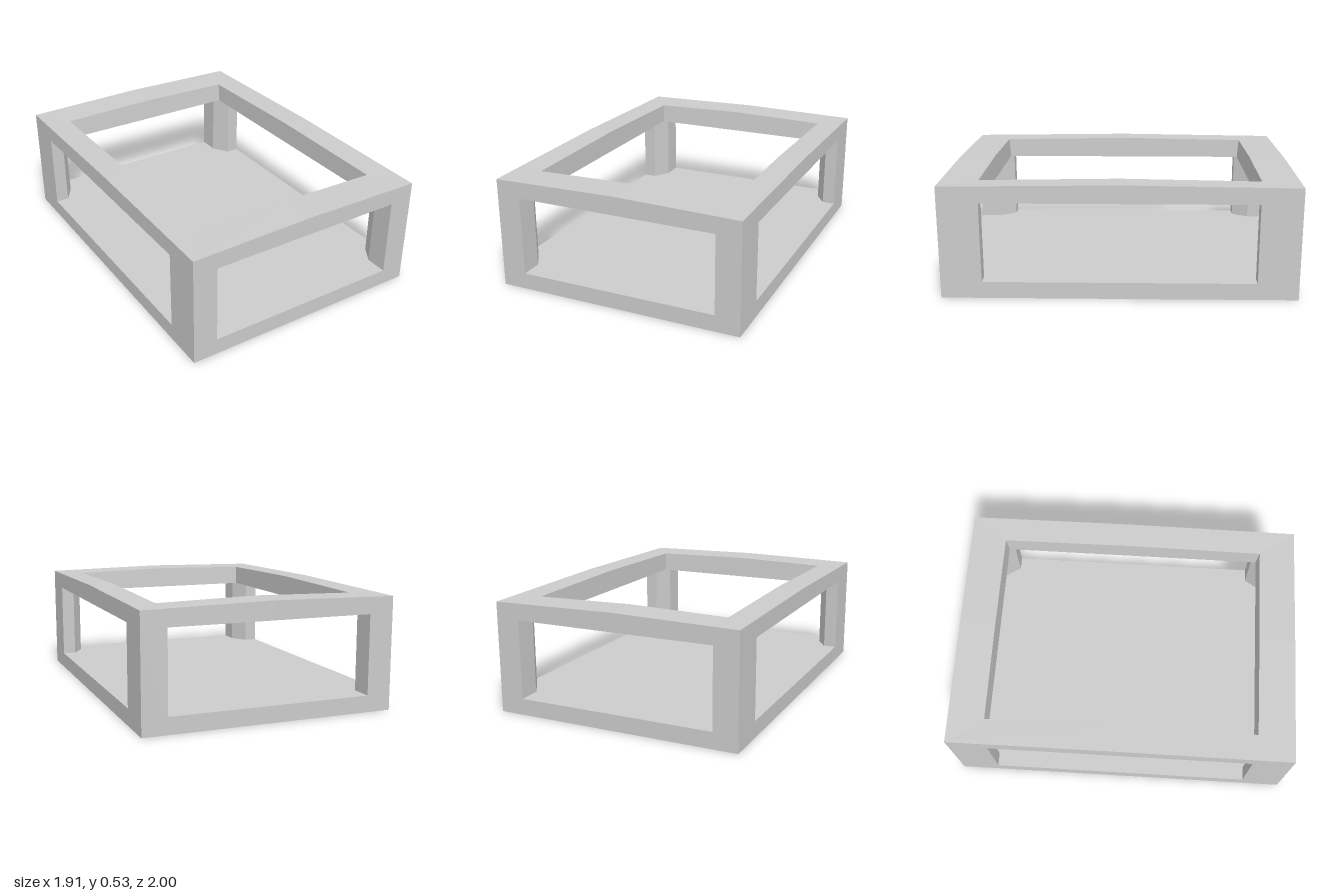
import * as THREE from 'three';

const HX = 0.808, HZ = 0.586;          // half length and half width
const FLOOR = 0.077, LINTEL = 0.445;   // window bottom and top heights

const material = new THREE.MeshStandardMaterial({ color: 0xcccccc, flatShading: true });

function part(name, geometry) {
  const mesh = new THREE.Mesh(geometry, material);
  mesh.name = name;
  return mesh;
}

// Corner post: square outside, chamfered between the two window jambs
function postGeometry(sx, sz) {
  const outline = [[0, 0], [0.187, 0], [0.187, 0.063], [0.105, 0.115], [0, 0.115]];
  const shape = new THREE.Shape(
    outline.map(([a, b]) => new THREE.Vector2(sx * (HX - a), sz * (HZ - b))));
  const geometry = new THREE.ExtrudeGeometry(shape, { depth: LINTEL - FLOOR, bevelEnabled: false });
  return geometry.rotateX(-Math.PI / 2).translate(0, FLOOR, 0);
}

// Top frame: one cross-section swept round corners and edge midpoints
function topFrameGeometry() {
  const stations = [[1, 1], [0, 1], [-1, 1], [-1, 0], [-1, -1], [0, -1], [1, -1], [1, 0]];
  // inset along length, inset along width, height, rise at edge midpoints
  const profile = [
    [0, 0, LINTEL, 0],
    [0, 0, 0.52, 0.01],
    [0.171, 0.121, 0.52, 0.01],
    [0.178, 0.122, 0.425, 0],
    [0.105, 0.063, LINTEL, 0],
  ];
  const point = (s, k) => {
    const [sx, sz] = stations[s % stations.length];
    const [dx, dz, y, rise] = profile[k % profile.length];
    return [sx * (HX - dx), y + (sx * sz === 0 ? rise : 0), sz * (HZ - dz)];
  };
  const positions = [];
  for (let s = 0; s < stations.length; s++) {
    for (let k = 0; k < profile.length; k++) {
      const a = point(s, k), b = point(s, k + 1), c = point(s + 1, k + 1), d = point(s + 1, k);
      positions.push(...a, ...b, ...d, ...b, ...c, ...d);
    }
  }
  const geometry = new THREE.BufferGeometry();
  geometry.setAttribute('position', new THREE.Float32BufferAttribute(positions, 3));
  geometry.computeVertexNormals();
  return geometry;
}

export function createModel() {
  const model = new THREE.Group();
  model.name = 'openFrameBox';

  const frame = new THREE.Group();
  frame.name = 'frame';
  frame.rotation.y = -0.915;           // stands diagonally
  model.add(frame);

  // Solid floor slab
  frame.add(part('floor', new THREE.BoxGeometry(2 * HX, FLOOR, 2 * HZ).translate(0, FLOOR / 2, 0)));

  // Four corner posts
  for (const sx of [-1, 1])
    for (const sz of [-1, 1]) frame.add(part('cornerPost', postGeometry(sx, sz)));

  // Open top
  frame.add(part('topFrame', topFrameGeometry()));

  return model;
}
